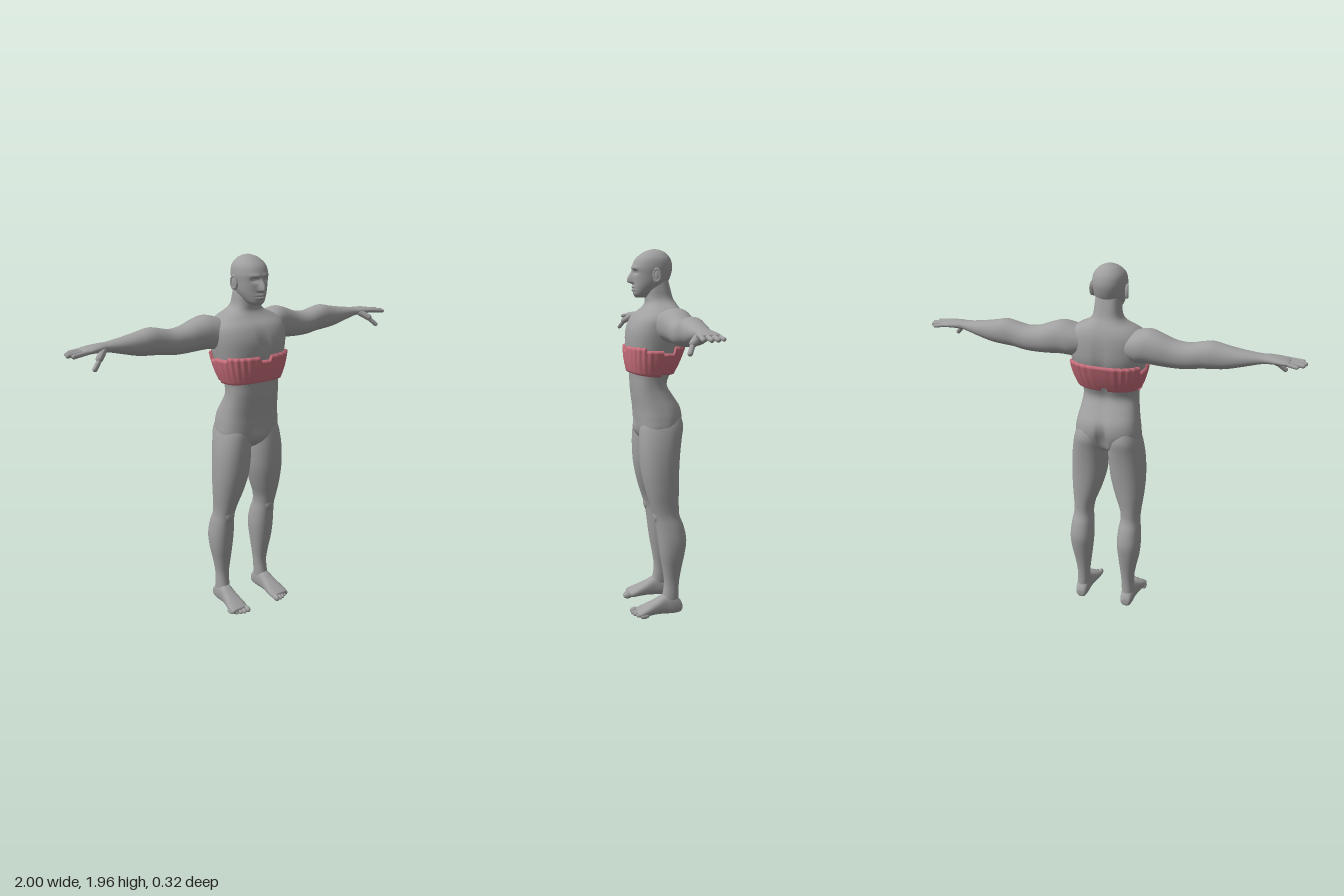
import * as THREE from 'three';

const skin = new THREE.MeshStandardMaterial({ color: 0xa0a0a0 });
skin.name = 'grey skin';
const cloth = new THREE.MeshStandardMaterial({ color: 0xc86e7b, side: THREE.DoubleSide });
cloth.name = 'pink cloth';

const bell = (v, centre, width) => Math.exp(-(((v - centre) / width) ** 2));
const spow = (v, e) => Math.sign(v) * Math.abs(v) ** e;

// Surface from rows of points; wrap joins the last column to the first
function grid(rows, wrap, flip) {
  const n = rows[0].length, index = [];
  for (let i = 0; i < rows.length - 1; i++) {
    for (let j = 0; j < (wrap ? n : n - 1); j++) {
      const k = (j + 1) % n;
      const a = i * n + j, b = i * n + k, c = (i + 1) * n + k, d = (i + 1) * n + j;
      if (flip) index.push(a, c, b, a, d, c);
      else index.push(a, b, c, a, c, d);
    }
  }
  const g = new THREE.BufferGeometry();
  g.setAttribute('position', new THREE.Float32BufferAttribute(rows.flat(2), 3));
  g.setIndex(index);
  g.computeVertexNormals();
  return g;
}

// Smooth interpolation through a list of cross-sections
function refine(rings, steps) {
  const out = [], last = rings.length - 1;
  for (let i = 0; i < last; i++) {
    const [p, q, r, s] = [rings[Math.max(i - 1, 0)], rings[i], rings[i + 1], rings[Math.min(i + 2, last)]];
    for (let k = 0; k < steps; k++) {
      const t = k / steps;
      out.push(q.map((_, c) => 0.5 * (2 * q[c] + (r[c] - p[c]) * t + (2 * p[c] - 5 * q[c] + 4 * r[c] - s[c]) * t * t
        + (3 * q[c] - p[c] - 3 * r[c] + s[c]) * t ** 3)));
    }
  }
  out.push(rings[last]);
  return out;
}

// Closed loft; rings are [position, aMin, aMax, bMin, bMax] in ascending order
function loft(axis, rings, { segs = 32, steps = 4, power = 2.2, rule = null } = {}) {
  const fine = refine(rings, steps);
  const row = ([t, a0, a1, b0, b1], size) => Array.from({ length: segs }, (_, j) => {
    const w = (j / segs) * Math.PI * 2;
    const a = (a0 + a1) / 2 + ((a1 - a0) / 2) * size * spow(Math.cos(w), 2 / power);
    const b = (b0 + b1) / 2 + ((b1 - b0) / 2) * size * spow(Math.sin(w), 2 / power);
    const p = axis === 'y' ? [a, t, b] : axis === 'x' ? [t, a, b] : [a, b, t];
    return rule && size ? rule(p) : p;
  });
  const rows = [row(fine[0], 0), ...fine.map((r) => row(r, 1)), row(fine[fine.length - 1], 0)];
  return grid(rows, true, axis === 'y');
}

// Mirrored copy across x = 0
function mirrored(g) {
  const m = g.clone().scale(-1, 1, 1);
  const ix = m.index.array;
  for (let i = 0; i < ix.length; i += 3) [ix[i], ix[i + 1]] = [ix[i + 1], ix[i]];
  m.computeVertexNormals();
  return m;
}

function ball(x, y, z, rx, ry, rz) {
  return new THREE.SphereGeometry(1, 20, 14).scale(rx, ry, rz).translate(x, y, z);
}

// Finger: rounded capsule between two points
function finger(from, to, r) {
  const a = new THREE.Vector3(...from), b = new THREE.Vector3(...to), d = b.clone().sub(a);
  const g = new THREE.CapsuleGeometry(r, d.length() - r, 5, 12);
  g.applyQuaternion(new THREE.Quaternion().setFromUnitVectors(new THREE.Vector3(0, 1, 0), d.normalize()));
  return g.translate(...a.add(b).multiplyScalar(0.5).toArray());
}

export function createModel() {
  const model = new THREE.Group();
  model.name = 'figure';
  const add = (name, geometry, material = skin) => {
    const mesh = new THREE.Mesh(geometry, material);
    mesh.name = name;
    model.add(mesh);
  };
  const pair = (name, geometry) => {
    add('left' + name, geometry);
    add('right' + name, mirrored(geometry));
  };

  // Torso and neck: [y, half width, back z, front z]
  const torso = [
    [0.95, 0.03, -0.05, 0.05], [0.98, 0.09, -0.1, 0.085], [1.02, 0.172, -0.125, 0.1], [1.08, 0.176, -0.142, 0.107],
    [1.14, 0.167, -0.133, 0.112], [1.2, 0.156, -0.095, 0.12], [1.26, 0.15, -0.062, 0.125], [1.32, 0.154, -0.08, 0.128],
    [1.4, 0.178, -0.12, 0.138], [1.48, 0.196, -0.15, 0.147], [1.55, 0.205, -0.154, 0.142], [1.61, 0.2, -0.148, 0.115],
    [1.65, 0.16, -0.135, 0.07], [1.68, 0.1, -0.118, 0.047], [1.71, 0.074, -0.1, 0.045], [1.76, 0.067, -0.086, 0.045],
    [1.82, 0.06, -0.07, 0.03],
  ].map(([y, r, b, f]) => [y, -r, r, b, f]);
  add('torso', loft('y', torso, {
    segs: 64, power: 2.5,
    rule: ([x, y, z]) => {
      if (z < -0.03) z += 0.035 * bell(x, 0, 0.022) * bell(y, 1.05, 0.07) + 0.014 * bell(x, 0, 0.025) * bell(y, 1.42, 0.16);
      if (z > 0.03) {
        z -= 0.01 * bell(x, 0, 0.018) * bell(y, 1.53, 0.06); // breastbone
        z -= 0.006 * bell(x, 0, 0.012) * bell(y, 1.21, 0.012); // navel
        z += 0.014 * bell(x, 0, 0.035) * bell(y, 1.02, 0.035);
      }
      return [x, y, z];
    },
  }));

  // Head with nose, sockets, lips and chin shaped by rule
  const head = [
    [1.714, 0.024, 0.04, 0.095], [1.73, 0.044, 0, 0.108], [1.76, 0.063, -0.045, 0.111], [1.79, 0.075, -0.072, 0.111],
    [1.83, 0.082, -0.09, 0.113], [1.87, 0.086, -0.097, 0.113], [1.91, 0.079, -0.088, 0.096], [1.94, 0.054, -0.064, 0.06],
    [1.954, 0.028, -0.036, 0.03], [1.96, 0.006, -0.01, 0.002],
  ].map(([y, r, b, f]) => [y, -r, r, b, f]);
  add('head', loft('y', head, {
    segs: 112, steps: 9, power: 2.15,
    rule: ([x, y, z]) => {
      if (z > 0.03) {
        const bridge = THREE.MathUtils.smoothstep(1.866 - y, 0, 0.068) * THREE.MathUtils.smoothstep(y, 1.779, 1.793);
        z += 0.031 * bridge * bell(x, 0, 0.009 + 0.006 * bridge);
        z -= 0.013 * bell(Math.abs(x), 0.033, 0.017) * bell(y, 1.843, 0.012);
        z += 0.006 * bell(Math.abs(x), 0.03, 0.026) * bell(y, 1.864, 0.009);
        z += 0.007 * bell(x, 0, 0.024) * (bell(y, 1.767, 0.006) + bell(y, 1.753, 0.006));
        z -= 0.004 * bell(x, 0, 0.026) * bell(y, 1.76, 0.003);
      }
      return [x, y, z];
    },
  }));
  pair('Eye', ball(0.033, 1.843, 0.085, 0.012, 0.008, 0.012));
  const ear = ball(0, 0, 0, 0.009, 0.038, 0.02).rotateX(-0.15).rotateY(-0.35).translate(0.087, 1.825, 0.002);
  pair('Ear', ear);
  pair('EarRim', new THREE.TorusGeometry(0.018, 0.005, 8, 20).scale(1, 1.7, 1)
    .rotateY(Math.PI / 2 - 0.35).translate(0.092, 1.828, 0.002));

  // Arm: [x, yMin, yMax, zMin, zMax]
  pair('Arm', loft('x', [
    [0.1, 1.51, 1.63, -0.13, 0.03], [0.17, 1.49, 1.654, -0.148, 0.035], [0.23, 1.493, 1.667, -0.15, 0.022],
    [0.29, 1.49, 1.652, -0.148, 0.01], [0.36, 1.487, 1.626, -0.14, 0.003], [0.43, 1.489, 1.618, -0.135, 0.002],
    [0.5, 1.5, 1.633, -0.13, -0.001], [0.55, 1.504, 1.64, -0.13, -0.002], [0.62, 1.512, 1.626, -0.125, -0.005],
    [0.7, 1.532, 1.612, -0.114, -0.012], [0.78, 1.553, 1.602, -0.096, -0.018], [0.82, 1.559, 1.601, -0.096, -0.01],
    [0.87, 1.561, 1.596, -0.103, 0], [0.905, 1.562, 1.59, -0.103, 0], [0.92, 1.567, 1.584, -0.098, -0.004],
  ], { segs: 36 }));
  [[0.965, -0.098, 0.0095], [0.992, -0.066, 0.011], [1, -0.034, 0.011], [0.985, -0.003, 0.011]].forEach(([tip, z, r], i) => {
    pair('Finger' + (i + 1), finger([0.89, 1.577, -0.09 + i * 0.026], [tip - r / 2, 1.567, z], r));
  });
  pair('ThumbBase', finger([0.81, 1.575, -0.03], [0.86, 1.54, 0.014], 0.018));
  pair('Thumb', finger([0.845, 1.548, 0.005], [0.895, 1.5, 0.034], 0.012));

  // Leg: [y, xMin, xMax, zMin, zMax]
  pair('Leg', loft('y', [
    [0.03, 0.105, 0.17, -0.115, 0], [0.1, 0.1, 0.172, -0.11, -0.02], [0.18, 0.097, 0.17, -0.113, -0.03],
    [0.26, 0.088, 0.182, -0.125, -0.02], [0.34, 0.079, 0.198, -0.14, -0.006], [0.42, 0.073, 0.204, -0.15, 0.005],
    [0.5, 0.078, 0.198, -0.135, 0.015], [0.56, 0.085, 0.19, -0.112, 0.027], [0.62, 0.076, 0.193, -0.108, 0.046],
    [0.7, 0.046, 0.202, -0.11, 0.07], [0.8, 0.018, 0.207, -0.113, 0.091], [0.9, 0.007, 0.204, -0.12, 0.099],
    [0.98, 0.004, 0.194, -0.13, 0.098], [1.05, 0.008, 0.178, -0.139, 0.09], [1.12, 0.03, 0.15, -0.115, 0.06],
  ], { segs: 40 }));
  pair('Kneecap', ball(0.137, 0.565, 0.012, 0.03, 0.042, 0.02));

  // Foot, lofted from heel to toes: [z, xMin, xMax, yMin, yMax]
  pair('Foot', loft('z', [
    [-0.13, 0.118, 0.155, 0.02, 0.05], [-0.118, 0.106, 0.167, 0.006, 0.075], [-0.08, 0.1, 0.174, 0, 0.11],
    [-0.03, 0.1, 0.176, 0.002, 0.112], [0.02, 0.096, 0.183, 0.004, 0.085], [0.07, 0.089, 0.194, 0.002, 0.06],
    [0.1, 0.088, 0.198, 0.002, 0.046], [0.125, 0.094, 0.192, 0.005, 0.034],
  ], { power: 2.5 }));
  for (let i = 0; i < 5; i++) {
    const r = i === 0 ? 0.015 : 0.0115 - i * 0.0005;
    pair('Toe' + (i + 1), ball(0.104 + i * 0.021 + (i ? 0.003 : 0), r + 0.004, 0.13 - i * i * 0.0025, r, r + 0.003, 0.026));
  }

  // Chest wrap: front and back cloth panels with notched edges and fine pleats
  function panel(start, end, lift, top, bottom) {
    const cols = 120, levels = [0, 0.04, 0.12, 0.3, 0.5, 0.7, 0.88, 0.96, 1], rows = [];
    for (const s of levels) {
      const row = [];
      for (let j = 0; j <= cols; j++) {
        const w = start + ((end - start) * j) / cols;
        const c = spow(Math.cos(w), 0.78), d = spow(Math.sin(w), 0.78);
        const y0 = bottom(c, d), y = y0 + (top(c, d) - y0) * s;
        const h = (y - 1.31) / 0.15, swell = Math.sin(Math.min(Math.max(h, 0), 1) * Math.PI) * 0.006;
        const pleat = 0.003 * Math.sin(w * 30) * Math.min(Math.abs(c * d) * 2, 1) * s;
        const tuck = s === 0 || s === 1 ? -0.014 : 0;
        const out = lift + swell + pleat + tuck;
        const depth = d > 0 ? 0.135 + 0.019 * h : 0.09 + 0.066 * h;
        row.push([(0.162 + 0.042 * h + out) * c, y, (depth + out) * d]);
      }
      rows.push(row);
    }
    return grid(rows, false, true);
  }
  add('frontWrap', panel(-0.04, Math.PI + 0.04, 0.004,
    (c) => (Math.abs(c) < 0.15 ? 1.442 : Math.abs(c) > 0.93 ? 1.45 : 1.465),
    (c) => 1.322 - 0.012 * Math.abs(c) ** 3), cloth);
  add('backWrap', panel(Math.PI - 0.02, Math.PI * 2 + 0.02, 0.001,
    (c, d) => (d > -0.5 ? 1.435 : 1.47),
    (c) => (Math.abs(c) < 0.12 ? 1.335 : 1.312 + 0.01 * Math.abs(c) ** 3)), cloth);

  return model;
}
